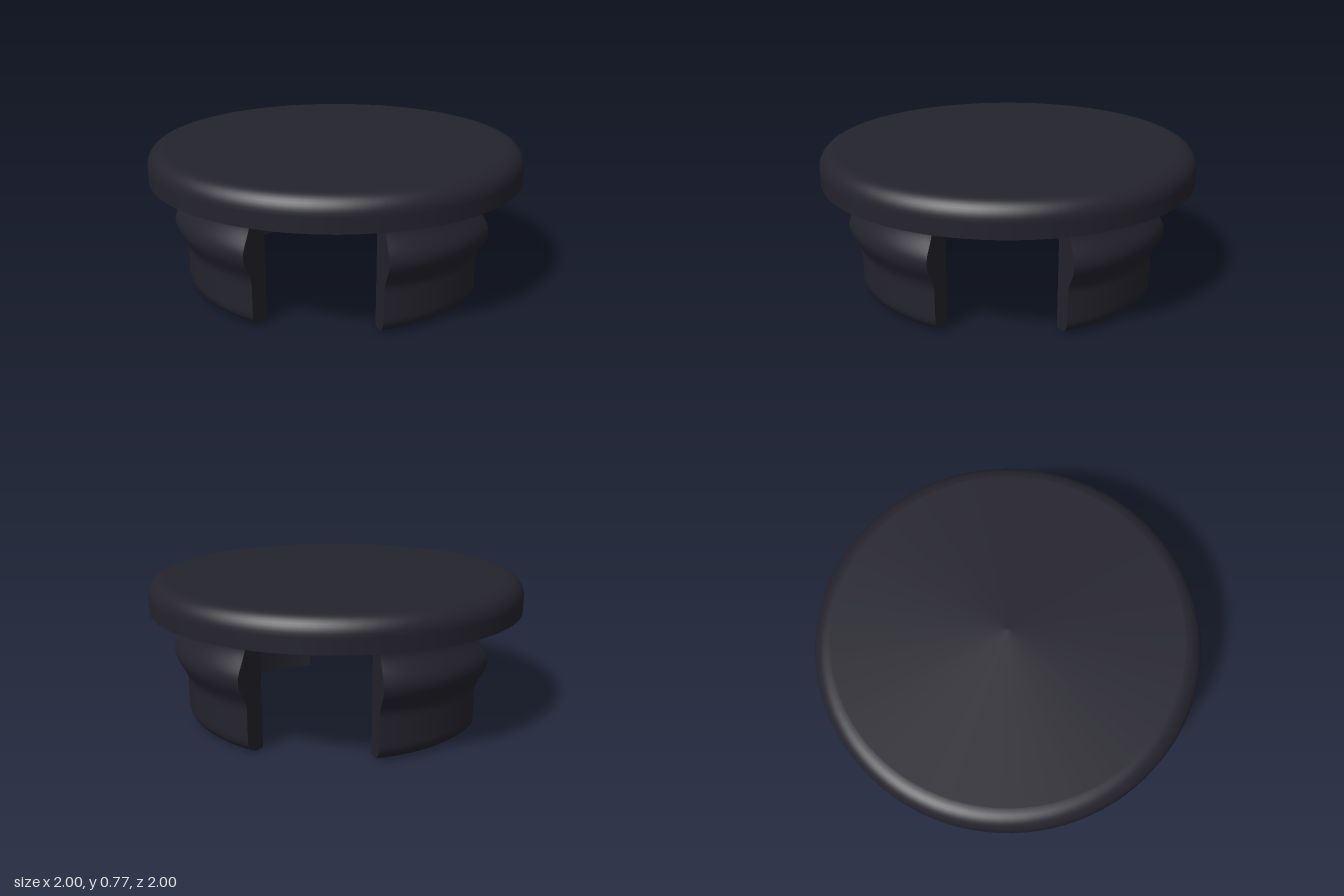
import * as THREE from 'three';
import { ParametricGeometry } from 'three/addons/geometries/ParametricGeometry.js';

const CAP_Y = 0.6, TOP_Y = 0.77, EDGE = 0.09;
const HALF_ANGLE = THREE.MathUtils.degToRad(22.4);

// Quarter-round flare that grows from 0 to size as y reaches the cap underside
const flare = (y, size) => {
  const t = Math.max(0, y - (CAP_Y - size));
  return size - Math.sqrt(Math.max(0, size * size - t * t));
};

// Clip cross-section: rounded toe, snap ridge, inner wall and flank angle by height
const outerR = (y) => {
  const toe = Math.max(0, 0.08 - y);
  const d = (y - 0.39) / 0.16;
  const ridge = Math.abs(d) < 1 ? 0.03 * (1 + Math.cos(Math.PI * d)) : 0;
  return 0.74 + Math.sqrt(Math.max(0, 0.0064 - toe * toe)) + ridge;
};
const innerR = (y) => 0.703 - flare(y, 0.06);
const halfAngle = (y) => HALF_ANGLE + flare(y, 0.09) / 0.75;
const heightAt = (v) => CAP_Y * (1 - Math.cos(Math.PI * v)) / 2;

function patch(name, material, slices, stacks, point) {
  const geometry = new ParametricGeometry((u, v, target) => {
    const [r, a, y] = point(u, v);
    target.set(r * Math.sin(a), y, r * Math.cos(a));
  }, slices, stacks);
  geometry.computeVertexNormals();
  const mesh = new THREE.Mesh(geometry, material);
  mesh.name = name;
  return mesh;
}

function makeClip(material) {
  const clip = new THREE.Group();
  const lerp = THREE.MathUtils.lerp;
  const rows = 48;
  clip.add(
    patch('clipOuterFace', material, 20, rows, (u, v) => {
      const y = heightAt(v);
      return [outerR(y), (2 * u - 1) * halfAngle(y), y];
    }),
    patch('clipInnerFace', material, 20, rows, (u, v) => {
      const y = heightAt(v);
      return [innerR(y), (1 - 2 * u) * halfAngle(y), y];
    }),
    patch('clipLeftFlank', material, 4, rows, (u, v) => {
      const y = heightAt(v);
      return [lerp(outerR(y), innerR(y), u), halfAngle(y), y];
    }),
    patch('clipRightFlank', material, 4, rows, (u, v) => {
      const y = heightAt(v);
      return [lerp(innerR(y), outerR(y), u), -halfAngle(y), y];
    }),
    patch('clipToe', material, 20, 1, (u, v) =>
      [lerp(innerR(0), outerR(0), v), (2 * u - 1) * HALF_ANGLE, 0])
  );
  return clip;
}

export function createModel() {
  const model = new THREE.Group();
  model.name = 'plugCap';
  const plastic = new THREE.MeshStandardMaterial({ color: 0x24232d });
  plastic.name = 'darkPlastic';

  // Round cap with a softened upper edge
  const profile = [new THREE.Vector2(1, CAP_Y), new THREE.Vector2(1, TOP_Y - EDGE - 0.005)];
  for (let i = 0; i <= 10; i++) {
    const t = (i / 10) * Math.PI / 2;
    profile.push(new THREE.Vector2(1 - EDGE + EDGE * Math.cos(t), TOP_Y - EDGE + EDGE * Math.sin(t)));
  }
  profile.push(new THREE.Vector2(1 - EDGE - 0.005, TOP_Y), new THREE.Vector2(0, TOP_Y));
  const cap = new THREE.Mesh(new THREE.LatheGeometry(profile, 96), plastic);
  cap.name = 'cap';

  const underside = new THREE.Mesh(new THREE.CircleGeometry(1, 96), plastic);
  underside.name = 'capUnderside';
  underside.rotation.x = Math.PI / 2;
  underside.position.y = CAP_Y;
  model.add(cap, underside);

  // Four snap clips, one per side
  ['front', 'left', 'back', 'right'].forEach((side, i) => {
    const clip = makeClip(plastic);
    clip.name = side + 'Clip';
    clip.rotation.y = i * Math.PI / 2;
    model.add(clip);
  });
  return model;
}
